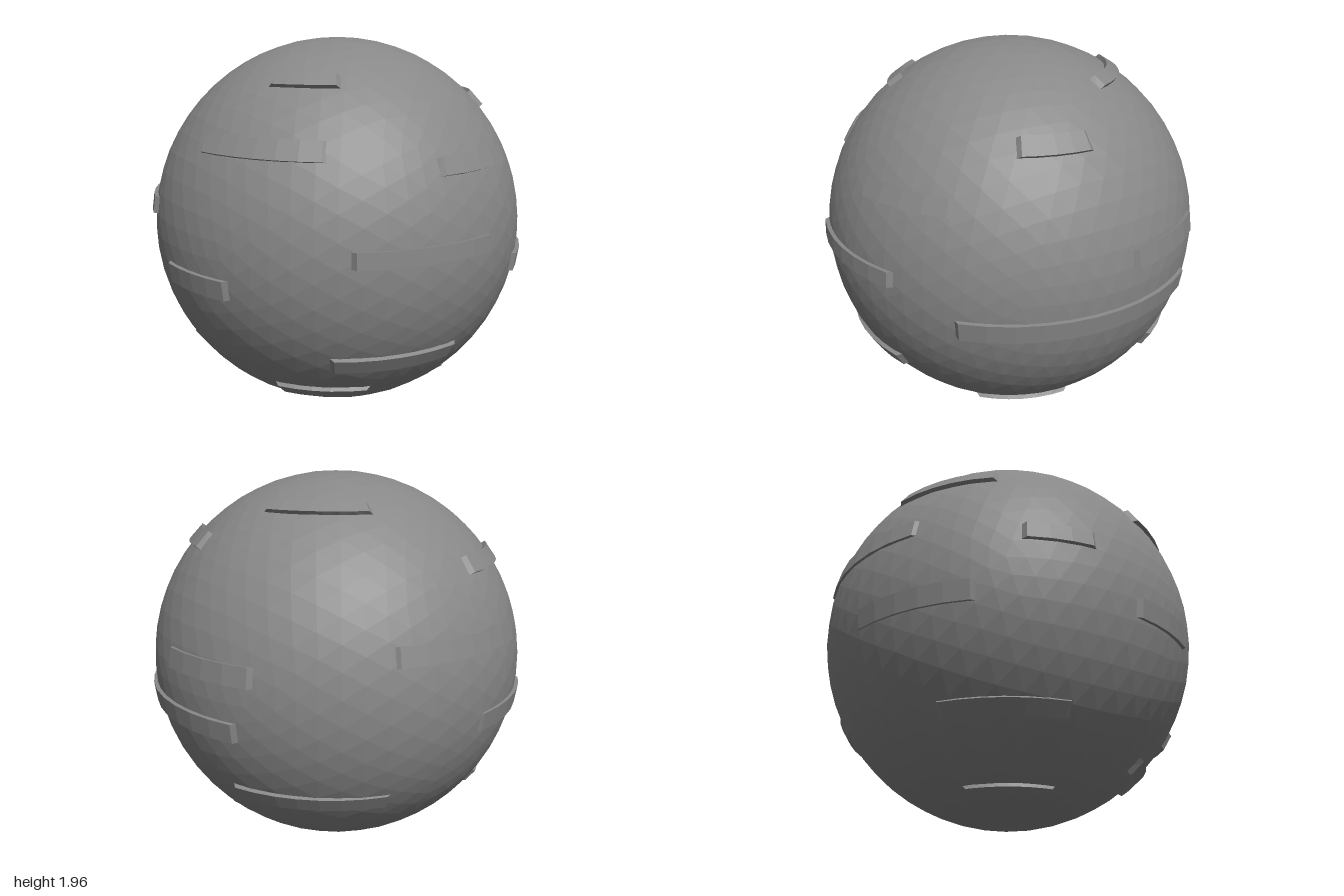
import * as THREE from 'three';

const S = 0.98;   // sphere radius and height of its centre
const BASE = 0.97; // radius at which the raised strips start
const DEG = Math.PI / 180;

const material = new THREE.MeshStandardMaterial({ color: 0x888888, flatShading: true });

// Raised strip along a parallel: heights y0..y1, azimuths a0..a1 in degrees
// (0 = front, 90 = +x), outer radius r0 at its start and r1 at its end.
function stripGeometry(y0, y1, a0, a1, r0 = 1, r1 = r0) {
  const upper = y0 + y1 > 2 * S;
  const lat = (y, outer) => Math.asin((y - S) / (outer ? 1 : 0.975));
  const low = lat(y0, !upper), high = lat(y1, upper);
  const n = Math.max(3, Math.round((a1 - a0) / 8));
  const inset = 1.8 / Math.cos((low + high) / 2); // sloped ends
  const pos = [], index = [];
  for (let j = 0; j <= n; j++) {
    const t = j / n;
    const inner = THREE.MathUtils.lerp(a0, a1, t) * DEG;
    const outer = THREE.MathUtils.lerp(a0 + inset, a1 - inset, t) * DEG;
    const R = THREE.MathUtils.lerp(r0, r1, t);
    for (const [r, p, a] of [[BASE, low, inner], [R, low, outer], [R, high, outer], [BASE, high, inner]]) {
      pos.push(r * Math.cos(p) * Math.sin(a), S + r * Math.sin(p), r * Math.cos(p) * Math.cos(a));
    }
  }
  for (let j = 0; j < n; j++) {
    for (let k = 0; k < 4; k++) {
      const a = j * 4 + k, b = j * 4 + (k + 1) % 4;
      index.push(a, a + 4, b + 4, a, b + 4, b);
    }
  }
  const e = n * 4;
  index.push(0, 1, 2, 0, 2, 3, e, e + 2, e + 1, e, e + 3, e + 2); // end caps
  const g = new THREE.BufferGeometry();
  g.setAttribute('position', new THREE.Float32BufferAttribute(pos, 3));
  g.setIndex(index);
  g.computeVertexNormals();
  return g;
}

// y0, y1, a0, a1, outer radius at start and end
const STRIPS = [
  // upper half
  [1.79, 1.85, 107, 166],
  [1.74, 1.81, -58, -23],
  [1.60, 1.69, 57, 86],
  [1.51, 1.60, 196, 236],
  [1.44, 1.54, -74, -28, 1, 0.988],
  [1.36, 1.45, 5, 40],
  // around the middle
  [1.17, 1.27, 162, 213, 0.992],
  [1.07, 1.17, 91, 125],
  [1.08, 1.17, 242, 264],
  [0.99, 1.07, -22.5, 22.5],
  [0.79, 0.89, 40, 119.5],
  [0.79, 0.89, 276, 304],
  [0.775, 0.875, 191, 231, 0.99, 1],
  // lower half
  [0.43, 0.52, 111, 165, 1, 0.99],
  [0.43, 0.52, -28.5, 17],
  [0.32, 0.40, 214, 261],
  [0.21, 0.29, -53, -11],
  [0.16, 0.22, 38, 86],
  [0.06, 0.11, 209, 270],
];

export function createModel() {
  const model = new THREE.Group();
  model.name = 'stripedBall';

  // Faceted ball
  const ball = new THREE.Mesh(new THREE.IcosahedronGeometry(S, 9), material);
  ball.name = 'ball';
  ball.position.y = S;
  model.add(ball);

  // Raised strips
  const strips = new THREE.Group();
  strips.name = 'raisedStrips';
  STRIPS.forEach((s, i) => {
    const mesh = new THREE.Mesh(stripGeometry(...s), material);
    mesh.name = `raisedStrip${i + 1}`;
    strips.add(mesh);
  });
  model.add(strips);
  return model;
}
